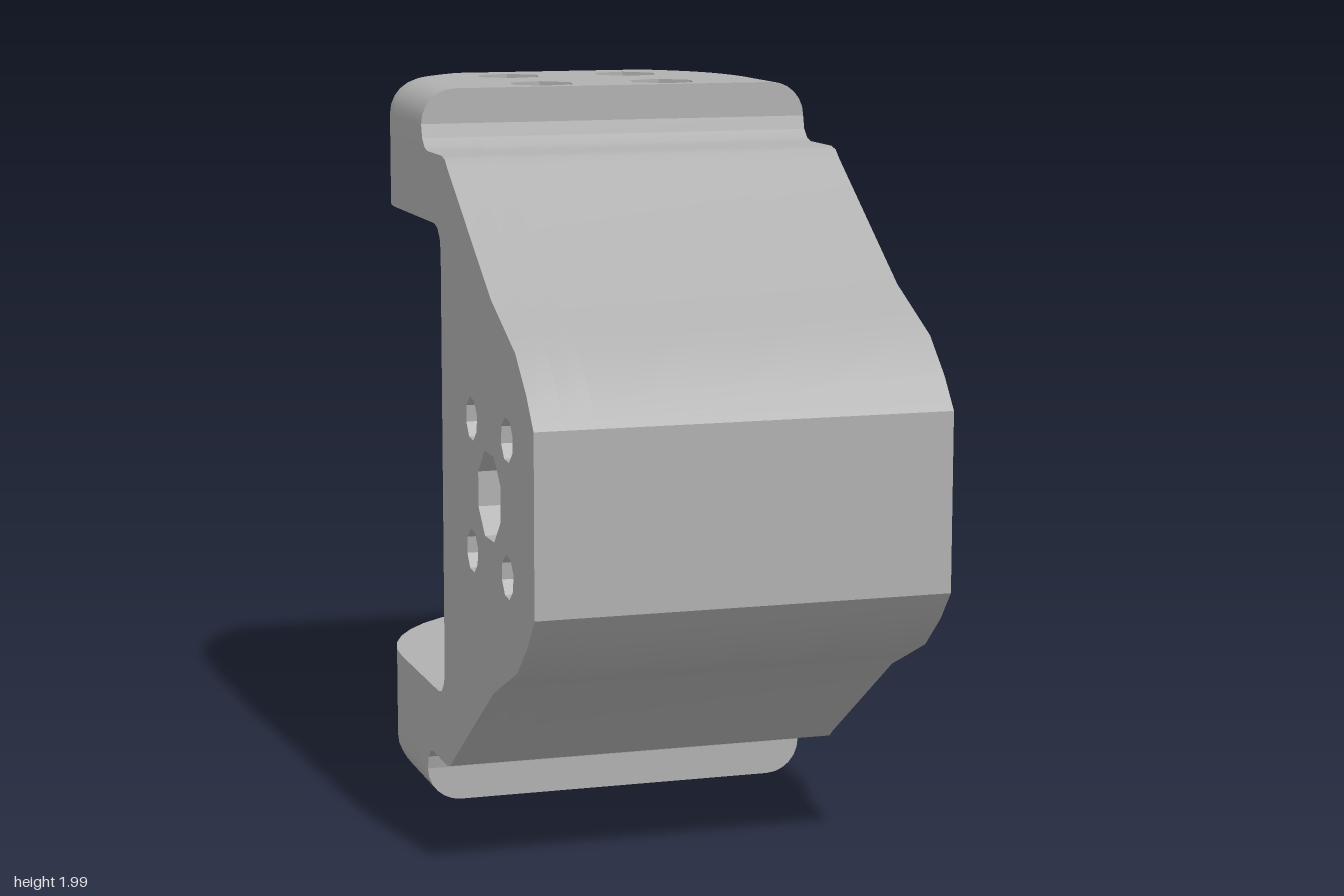
import * as THREE from 'three';
import { toCreasedNormals } from 'three/addons/utils/BufferGeometryUtils.js';

const HALF = 0.55;       // half width of the bracket
const STEP = -0.135;     // z where the arms begin
const PIVOT = -0.44;     // z of the arm hole pattern and rounded end
const BORE = [0.56, 1];  // z, y of the cross bore

// regular polygon used for every hole
function ring(cx, cy, r, n, turn = 0) {
  return Array.from({ length: n }, (_, i) => {
    const a = turn + (i / n) * Math.PI * 2;
    return new THREE.Vector2(cx + r * Math.cos(a), cy + r * Math.sin(a));
  });
}

// four holes in a square around a centre
function boltHoles(cx, cy, r, n) {
  const holes = [];
  for (const sx of [-1, 1]) for (const sy of [-1, 1]) {
    holes.push(ring(cx + sx * 0.175, cy + sy * 0.175, r, n, 0.3));
  }
  return holes;
}

function makeShape(points, holes) {
  const shape = new THREE.Shape(points);
  for (const h of holes) shape.holes.push(new THREE.Path(h));
  return shape;
}

function slab(points, holes, depth) {
  return new THREE.ExtrudeGeometry(makeShape(points, holes), { depth, bevelEnabled: false });
}

// closed strip between successive cross-sections of equal point count
function loft(rows) {
  const pos = [];
  for (let r = 0; r + 1 < rows.length; r++) {
    const n = rows[r].length;
    for (let i = 0; i < n; i++) {
      const j = (i + 1) % n;
      const a = rows[r][i], b = rows[r][j], c = rows[r + 1][j], d = rows[r + 1][i];
      pos.push(...a, ...b, ...c, ...a, ...c, ...d);
    }
  }
  const g = new THREE.BufferGeometry();
  g.setAttribute('position', new THREE.Float32BufferAttribute(pos, 3));
  return g;
}

// plan outline of an arm in (x, z): round end, optionally cut flat at z = -cut
function armOutline(inset, cut) {
  const w = HALF - inset;
  const end = Math.asin(Math.min(0.9999, (cut + PIVOT) / w));
  const right = [new THREE.Vector2(w, STEP)];
  for (let i = 0; i <= 10; i++) {
    const a = (end * i) / 10;
    right.push(new THREE.Vector2(w * Math.cos(a), PIVOT - w * Math.sin(a)));
  }
  const left = right.map(p => new THREE.Vector2(-p.x, p.y)).reverse();
  return [...right, ...left];
}

// same outline with a round-ended slot cut in from one side
function slottedOutline(cut, side) {
  const r = 0.095, outline = armOutline(0, cut);
  const pts = [outline[0], new THREE.Vector2(HALF, PIVOT + r)];
  for (let i = 0; i <= 8; i++) {
    const a = Math.PI * (0.5 + i / 8);
    pts.push(new THREE.Vector2(r * Math.cos(a), PIVOT + r * Math.sin(a)));
  }
  pts.push(new THREE.Vector2(Math.sqrt(HALF * HALF - r * r), PIVOT - r));
  pts.push(...outline.slice(1).filter(p => p.x <= 0 || p.y < PIVOT - r - 0.005));
  return pts.map(p => new THREE.Vector2(p.x * side, p.y));
}

export function createModel() {
  const model = new THREE.Group();
  model.name = 'bracket';
  const grey = new THREE.MeshStandardMaterial({ color: 0xb0b0b0, side: THREE.DoubleSide });
  grey.name = 'grey';

  const add = (parent, name, geometry) => {
    const mesh = new THREE.Mesh(toCreasedNormals(geometry, 0.5), grey);
    mesh.name = name;
    parent.add(mesh);
  };

  // side profile of the body (z, y), upper half then mirrored lower half
  const upper = [
    [0.985, 1.235], [0.92, 1.315], [0.82, 1.405], [0.7, 1.46], [0.59, 1.51],
    [0.15, 1.805], [0.125, 1.825], [0.09, 1.833], [-0.07, 1.833],
    [-0.1, 1.841], [-0.125, 1.863], [-0.135, 1.9],
    [STEP, 1.645], [0, 1.645], [0.035, 1.636], [0.061, 1.61], [0.07, 1.575],
  ];
  const lower = upper.map(([z, y]) => [z, 2 - y]).reverse();
  const profile = [...upper, ...lower].map(p => new THREE.Vector2(...p));

  // body layers from the open bore side to the end wall
  const body = new THREE.Group();
  body.name = 'body';
  model.add(body);
  const centreHole = ring(...BORE, 0.12, 8, 0.39);
  const layers = [
    ['boreHousing', [ring(...BORE, 0.345, 32)], 0.94],
    ['endWallRecesses', [centreHole, ...boltHoles(...BORE, 0.095, 6)], 0.08],
    ['endWall', [centreHole, ...boltHoles(...BORE, 0.058, 8)], 0.08],
  ];
  let x = HALF;
  for (const [name, holes, depth] of layers) {
    add(body, name, slab(profile, holes, depth).rotateY(-Math.PI / 2).translate(x, 0, 0));
    x -= depth;
  }

  // an arm is built downward from its inner face at y = 0
  function makeArm(name, cut, slotSide) {
    const arm = new THREE.Group();
    arm.name = name;
    const small = boltHoles(0, PIVOT, 0.055, 10);
    const large = boltHoles(0, PIVOT, 0.097, 6);
    const down = (g, t) => g.rotateX(Math.PI / 2).translate(0, -t, 0);
    add(arm, 'slottedFace', down(slab(slottedOutline(cut, slotSide), small, 0.05), 0));
    add(arm, 'armCore', down(slab(armOutline(0, cut), small, 0.13), 0.05));

    // rounded outer edge
    const thick = 0.35, round = 0.095, start = 0.18;
    const row = (t, inset) => armOutline(inset, cut).map(p => [p.x, -t, p.y]);
    const rows = [row(start, 0)];
    for (let i = 0; i <= 6; i++) {
      const a = (i / 6) * Math.PI / 2;
      rows.push(row(thick - round + round * Math.sin(a), round * (1 - Math.cos(a))));
    }
    add(arm, 'roundedRim', loft(rows));

    // outer face with the walls of its screw recesses
    const face = new THREE.ShapeGeometry(makeShape(armOutline(round, cut), large));
    add(arm, 'outerFace', down(face, thick));
    for (const hole of large) {
      const wall = [thick, start].map(t => hole.map(p => [p.x, -t, p.y]));
      add(arm, 'screwRecess', loft(wall));
    }
    model.add(arm);
    return arm;
  }

  makeArm('lowerArm', 2, 1).position.y = 0.355;
  const top = makeArm('upperArm', 0.8, -1);
  top.rotation.z = Math.PI;
  top.position.y = 1.645;

  return model;
}
